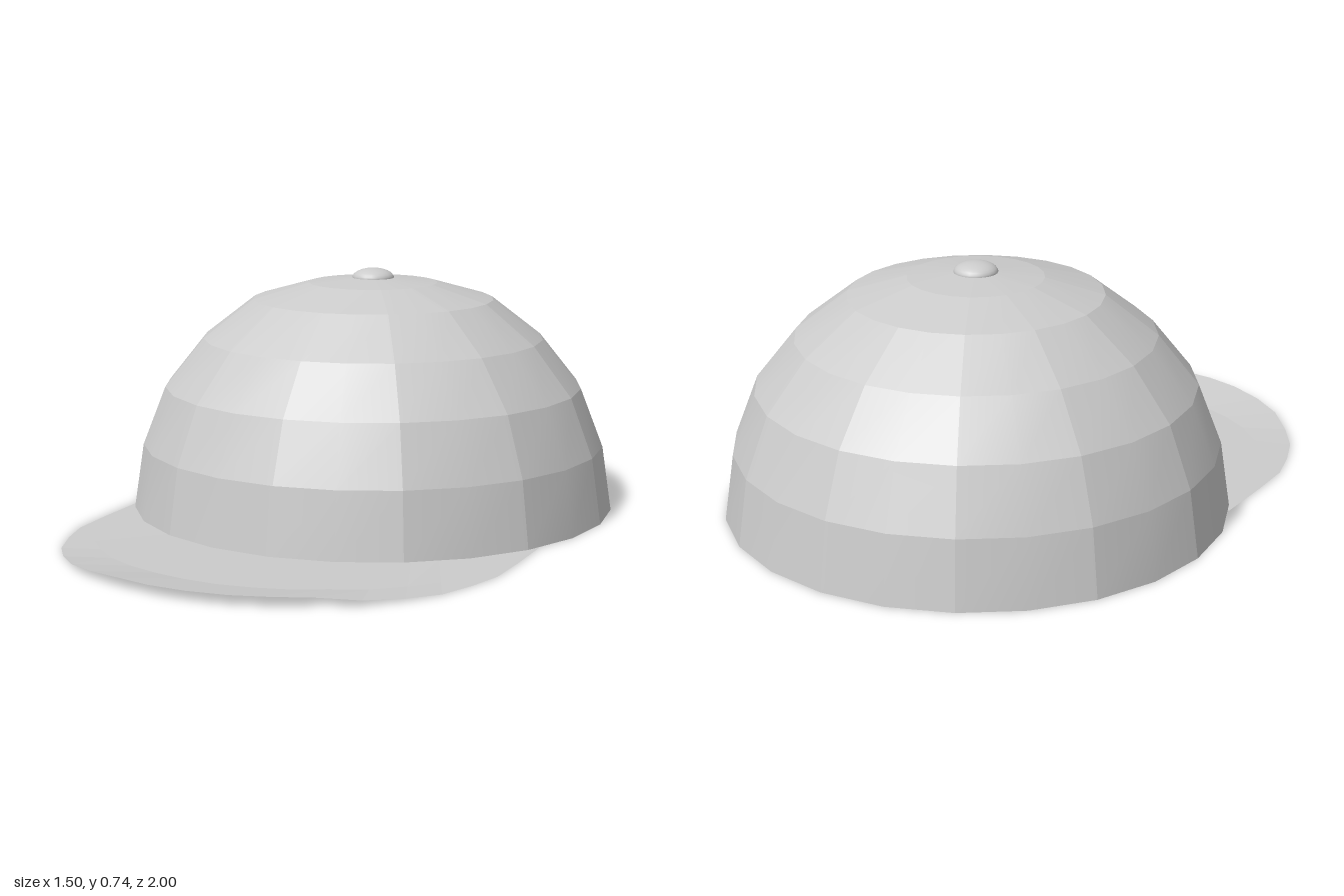
import * as THREE from 'three';
import { mergeGeometries } from 'three/addons/utils/BufferGeometryUtils.js';

const CROWN_Z = -0.25, STEP = Math.PI / 12;
const material = (flatShading) =>
  new THREE.MeshStandardMaterial({ color: 0xcccccc, side: THREE.DoubleSide, flatShading });

// Grid surface: place(column, row) gives each corner, row 0 being the upper or inner edge
function sheet(cols, rows, place) {
  const g = new THREE.PlaneGeometry(1, 1, cols, rows);
  const p = g.attributes.position;
  for (let r = 0; r <= rows; r++)
    for (let c = 0; c <= cols; c++) p.setXYZ(r * (cols + 1) + c, ...place(c, r));
  g.computeVertexNormals();
  return g;
}

// Crown: twelve two-facet gores, creased between gores and between bands
function makeCrown() {
  const profile = [[0, 0.72], [0.2, 0.7], [0.375, 0.65], [0.53, 0.53], [0.65, 0.38], [0.72, 0.2], [0.75, 0]];
  const parts = [];
  for (let gore = 0; gore < 12; gore++)
    for (let band = 0; band < profile.length - 1; band++)
      parts.push(sheet(2, 1, (c, r) => {
        const a = (gore * 2 + c) * STEP, [radius, y] = profile[band + r];
        return [radius * Math.sin(a), y, CROWN_Z + radius * Math.cos(a)];
      }));
  return new THREE.Mesh(mergeGeometries(parts), material(false));
}

// Brim: thin sheet from the crown's lower edge to a rounded, slightly raised rim
function makeBrim() {
  // half of the rim from the front centre to the side: x, y, z
  const half = [
    [0, 0.03, 0.995], [0.12, 0.03, 0.985], [0.23, 0.03, 0.955], [0.34, 0.024, 0.91],
    [0.44, 0.016, 0.845], [0.525, 0.006, 0.75], [0.59, 0, 0.655], [0.635, 0, 0.54],
    [0.665, 0, 0.43], [0.67, 0, 0.28], [0.67, 0, 0.09],
  ];
  const n = half.length - 1;
  const rim = [...half.slice(1).reverse().map(([x, y, z]) => [-x, y, z]), ...half];
  rim[n + 3] = [0.33, 0.024, 0.895]; // small dent on one side
  const geometry = sheet(2 * n, 2, (c, r) => {
    const a = ((c - n) / n) * THREE.MathUtils.degToRad(63);
    const off = Math.abs(a) % STEP - STEP / 2;
    const radius = 0.75 * Math.cos(STEP / 2) / Math.cos(off); // follows the crown's facets
    const x = radius * Math.sin(a), z = CROWN_Z + radius * Math.cos(a);
    const t = [0, 0.65, 1][r], [rx, ry, rz] = rim[c];
    return [x + (rx - x) * t, r === 2 ? ry : r * ry * 0.12, z + (rz - z) * t];
  });
  return new THREE.Mesh(geometry, material(true));
}

export function createModel() {
  const cap = new THREE.Group();
  cap.name = 'cap';

  const crown = makeCrown();
  crown.name = 'crown';

  const brim = makeBrim();
  brim.name = 'brim';

  // Button: shallow dome on top
  const button = new THREE.Mesh(
    new THREE.SphereGeometry(0.065, 20, 8, 0, Math.PI * 2, 0, Math.PI / 2), material(false));
  button.name = 'button';
  button.scale.y = 0.46;
  button.position.set(0, 0.714, CROWN_Z);

  cap.add(crown, brim, button);
  return cap;
}
